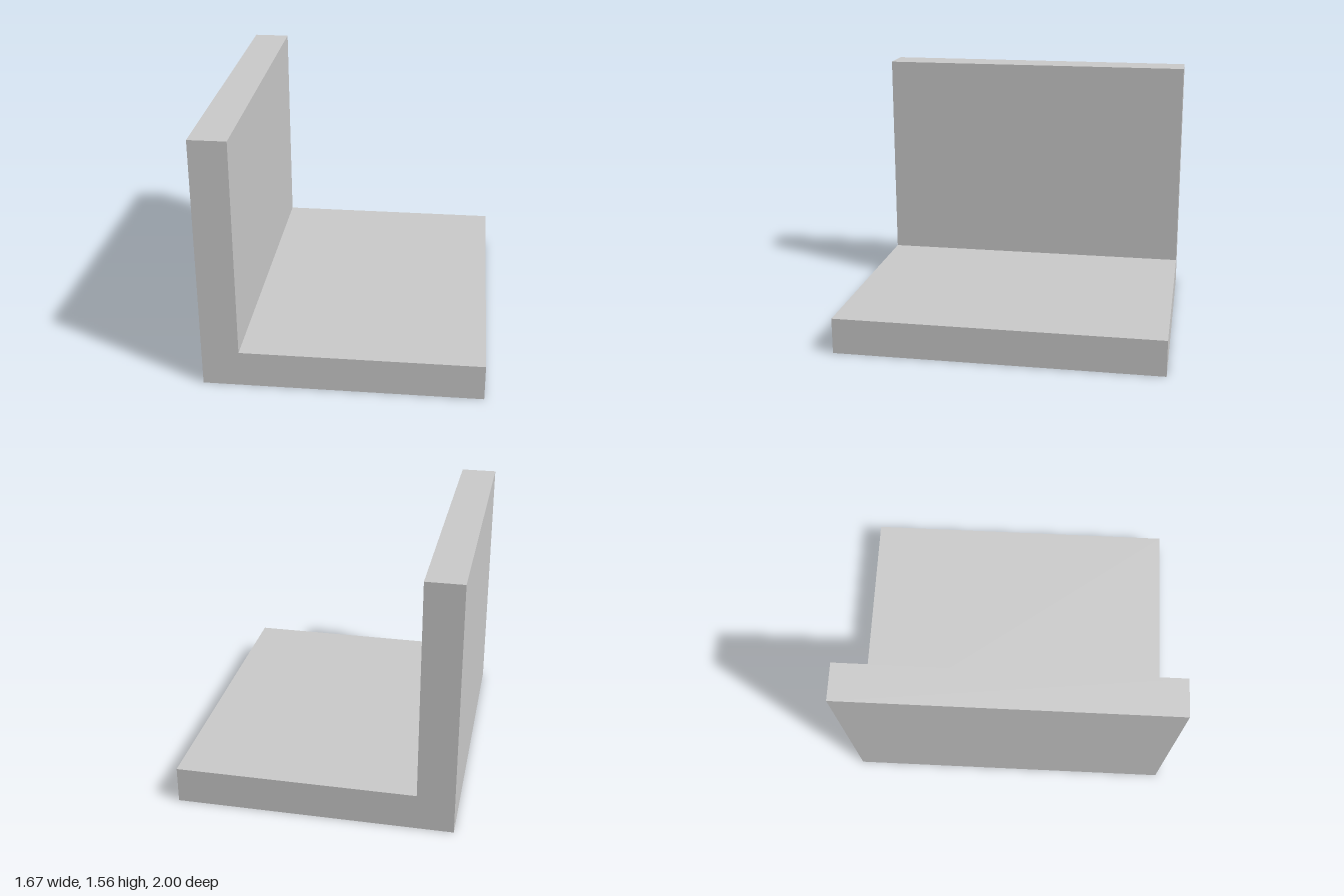
import * as THREE from 'three';

const HALF_WIDTH = 0.833;
const HEIGHT = 1.556;
const THICKNESS = 0.222;
const DEPTH = 2;

export function createModel() {
  const group = new THREE.Group();
  group.name = 'angleBracket';

  // L-shaped section: upright wall on the right, flat base plate
  const inner = -HALF_WIDTH + THICKNESS;
  const section = new THREE.Shape([
    [-HALF_WIDTH, 0],
    [HALF_WIDTH, 0],
    [HALF_WIDTH, THICKNESS],
    [inner, THICKNESS],
    [inner, HEIGHT],
    [-HALF_WIDTH, HEIGHT],
  ].map(([x, y]) => new THREE.Vector2(x, y)));

  // Sweep the section along z, centred on the origin
  const geometry = new THREE.ExtrudeGeometry(section, { depth: DEPTH, bevelEnabled: false });
  geometry.translate(0, 0, -DEPTH / 2);

  const bracket = new THREE.Mesh(geometry, new THREE.MeshStandardMaterial({ color: 0xcccccc }));
  bracket.name = 'wallAndBase';
  group.add(bracket);
  return group;
}
